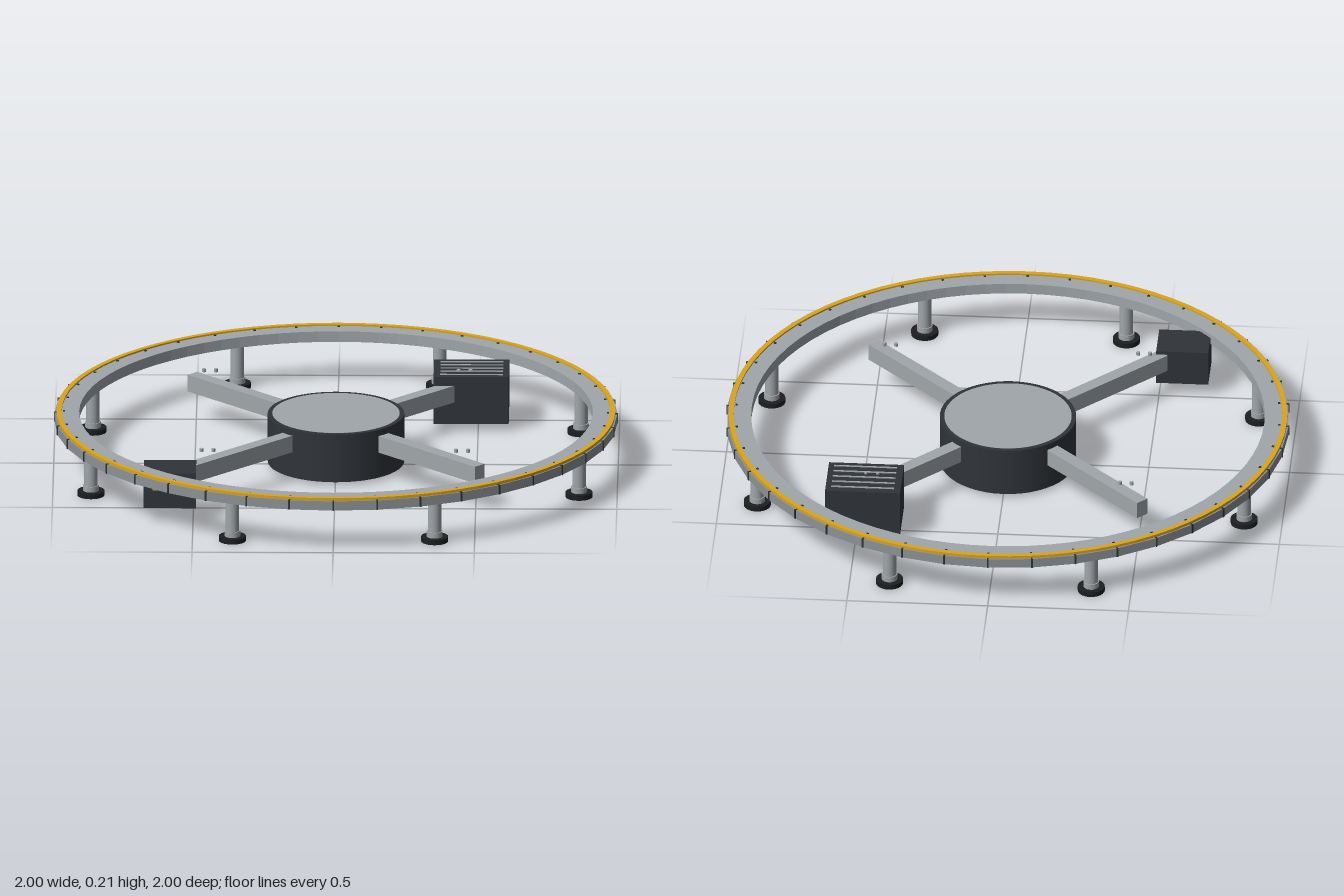
import * as THREE from 'three';

const mat = (color) => new THREE.MeshStandardMaterial({ color });
const steel = mat(0xa0a6aa);
const panelGrey = mat(0x8c9296);
const dark = mat(0x30343a);
const black = mat(0x1c1e20);
const yellow = mat(0xd9a520);
const facetedSteel = mat(0xa0a6aa);
facetedSteel.flatShading = true;

function add(parent, name, geometry, material, x = 0, y = 0, z = 0) {
  const mesh = new THREE.Mesh(geometry, material);
  mesh.name = name;
  mesh.position.set(x, y, z);
  parent.add(mesh);
  return mesh;
}

// box given by its lower and upper corners
function addBox(parent, name, [x0, y0, z0], [x1, y1, z1], material) {
  return add(parent, name, new THREE.BoxGeometry(x1 - x0, y1 - y0, z1 - z0), material,
    (x0 + x1) / 2, (y0 + y1) / 2, (z0 + z1) / 2);
}

// cylinder given by its bottom and top heights
function addCylinder(parent, name, radius, y0, y1, material, sides = 24) {
  return add(parent, name, new THREE.CylinderGeometry(radius, radius, y1 - y0, sides), material, 0, (y0 + y1) / 2, 0);
}

// closed ring with a rectangular section
function bandGeometry(inner, outer, y0, y1, sides) {
  const profile = [[inner, y0], [outer, y0], [outer, y1], [inner, y1], [inner, y0]];
  const geometry = new THREE.LatheGeometry(profile.map(([r, y]) => new THREE.Vector2(r, y)), sides).toNonIndexed();
  geometry.computeVertexNormals();
  return geometry;
}

function createRing() {
  const ring = new THREE.Group();
  ring.name = 'ring';
  add(ring, 'ringBeam', bandGeometry(0.91, 0.985, 0.155, 0.194, 80), facetedSteel);
  add(ring, 'safetyStripe', bandGeometry(0.972, 0.99, 0.19, 0.2, 80), yellow);
  // skirt panels with a dark joint between neighbours
  const count = 40;
  const step = (Math.PI * 2) / count;
  const width = 2 * 0.994 * Math.tan(step / 2);
  for (let i = 0; i < count; i++) {
    const panel = new THREE.Group();
    panel.name = 'skirtSection';
    panel.rotation.y = (i + 0.5) * step;
    addBox(panel, 'skirtPanel', [-width / 2, 0.156, 0.975], [width / 2, 0.19, 0.994], panelGrey);
    ring.add(panel);
    const joint = new THREE.Group();
    joint.name = 'skirtJoint';
    joint.rotation.y = i * step;
    addBox(joint, 'jointStrip', [-0.003, 0.156, 0.98], [0.003, 0.192, 1.0], dark);
    addBox(joint, 'jointBolt', [-0.004, 0.185, 0.96], [0.004, 0.197, 0.968], dark);
    ring.add(joint);
  }
  return ring;
}

function createLeg(angle) {
  const leg = new THREE.Group();
  leg.name = 'leg';
  addCylinder(leg, 'legPost', 0.024, 0.015, 0.16, steel);
  addCylinder(leg, 'legCollar', 0.028, 0.018, 0.038, steel);
  addCylinder(leg, 'footPad', 0.048, 0, 0.018, black);
  leg.position.set(0.936 * Math.sin(angle), 0, 0.936 * Math.cos(angle));
  return leg;
}

function createMotor() {
  const motor = new THREE.Group();
  motor.name = 'motorHousing';
  addBox(motor, 'motorBox', [0.342, 0.025, -0.58], [0.608, 0.2, -0.382], dark);
  // cooling slats on the lid
  for (let i = 0; i < 5; i++) {
    const z = -0.55 + i * 0.036;
    addBox(motor, 'coolingSlat', [0.365, 0.195, z - 0.003], [0.588, 0.203, z + 0.003], steel);
  }
  return motor;
}

function createControlBox() {
  const box = new THREE.Group();
  box.name = 'controlBox';
  addBox(box, 'controlCase', [-0.675, 0.05, 0.503], [-0.49, 0.18, 0.655], dark);
  addBox(box, 'warningPlate', [-0.643, 0.118, 0.65], [-0.522, 0.16, 0.662], yellow);
  return box;
}

export function createModel() {
  const model = new THREE.Group();
  model.name = 'turntableFrame';
  model.add(createRing());

  for (let i = 0; i < 8; i++) model.add(createLeg((i + 0.5) * Math.PI / 4));

  // central hub and its bearing plate
  addCylinder(model, 'hub', 0.242, 0.012, 0.19, dark, 48);
  addCylinder(model, 'bearingPlate', 0.226, 0.17, 0.191, steel, 48);

  // four diagonal arms, each with a pair of small studs
  for (let i = 0; i < 4; i++) {
    const arm = new THREE.Group();
    arm.name = 'arm';
    arm.rotation.y = Math.PI / 4 + i * Math.PI / 2;
    addBox(arm, 'armBeam', [-0.024, 0.105, 0.1], [0.024, 0.167, 0.727], steel);
    model.add(arm);
  }
  for (const sx of [-1, 1]) {
    for (const sz of [-1, 1]) {
      for (const x of [0.43, 0.472]) {
        const stud = addCylinder(model, 'stud', 0.007, 0.194, 0.206, steel, 8);
        stud.position.x = sx * x;
        stud.position.z = sz * 0.45;
      }
    }
  }

  model.add(createMotor(), createControlBox());
  return model;
}
